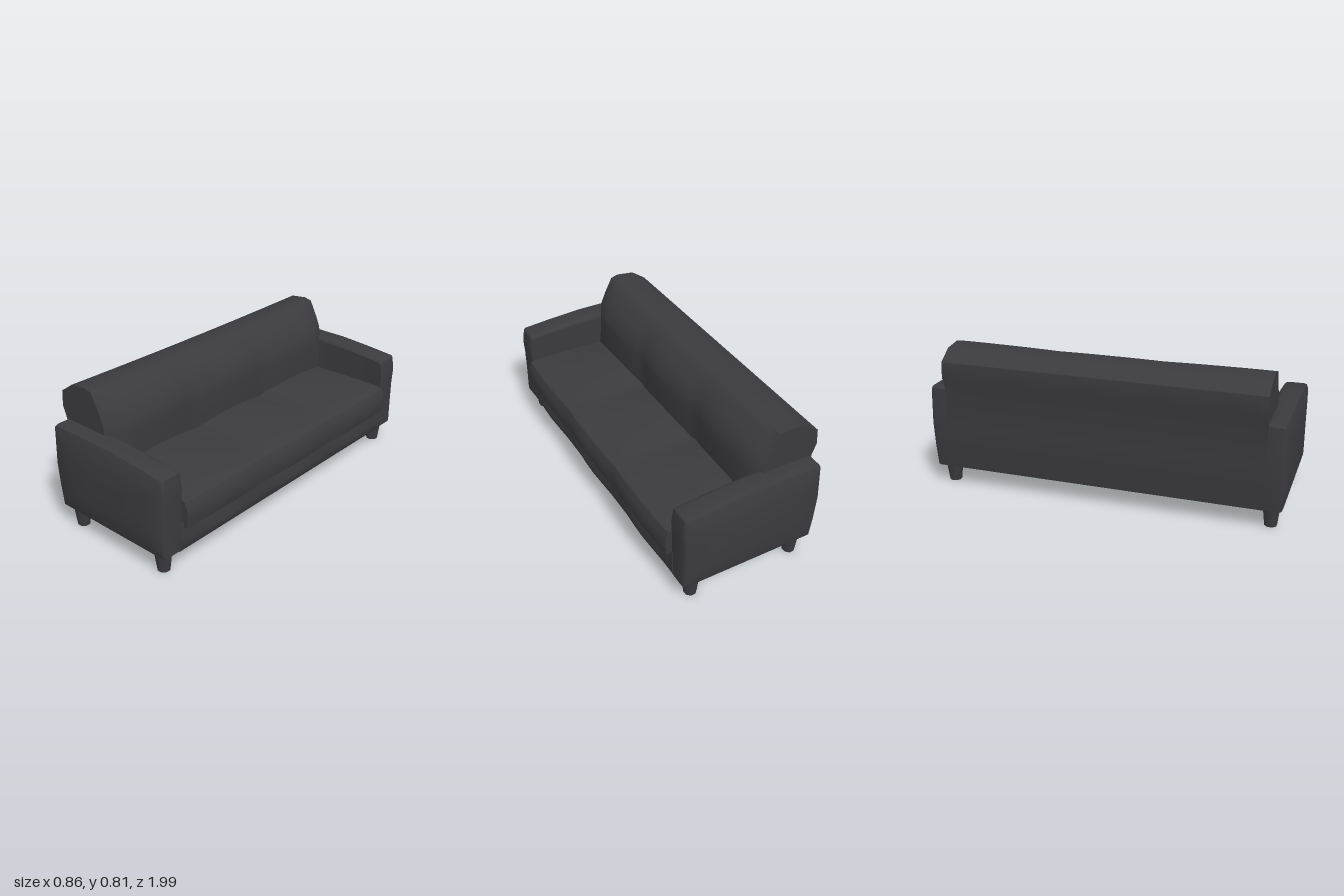
import * as THREE from 'three';
import { toCreasedNormals } from 'three/addons/utils/BufferGeometryUtils.js';

// Skin a list of { z, pts } sections (z rising, pts counterclockwise in x/y) and cap both ends
function loft(sections, crease = 0.7) {
  const n = sections[0].pts.length, pos = [], idx = [];
  sections.forEach(s => s.pts.forEach(([x, y]) => pos.push(x, y, s.z)));
  for (let i = 0; i < sections.length - 1; i++) {
    for (let j = 0; j < n; j++) {
      const a = i * n + j, b = i * n + (j + 1) % n;
      idx.push(a, b, b + n, a, b + n, a + n);
    }
  }
  const cap = (s, base, flip) => {
    const contour = s.pts.map(([x, y]) => new THREE.Vector2(x, y));
    for (const [a, b, c] of THREE.ShapeUtils.triangulateShape(contour, [])) {
      if (flip) idx.push(base + a, base + c, base + b);
      else idx.push(base + a, base + b, base + c);
    }
  };
  cap(sections[0], 0, true);
  cap(sections[sections.length - 1], (sections.length - 1) * n, false);
  const g = new THREE.BufferGeometry();
  g.setAttribute('position', new THREE.Float32BufferAttribute(pos, 3));
  g.setIndex(idx);
  return toCreasedNormals(g, crease);
}

// Even steps along z, from -half to half
function alongZ(half, steps, profile) {
  return Array.from({ length: steps + 1 }, (_, i) => {
    const z = -half + 2 * half * i / steps;
    return { z, pts: profile(z) };
  });
}

// 0 at cushion seams, 1 in the middle of each of the three cushions
function puff(z, half) {
  const t = (z + half) / (2 * half) * 3;
  const u = Math.abs((t - Math.min(2, Math.floor(t))) * 2 - 1);
  return 1 - u ** 2.5;
}

export function createModel() {
  const sofa = new THREE.Group();
  sofa.name = 'sofa';
  const fabric = new THREE.MeshStandardMaterial({ color: 0x3b3a3f });
  fabric.name = 'charcoal';
  const add = (name, geometry) => {
    const m = new THREE.Mesh(geometry, fabric);
    m.name = name;
    sofa.add(m);
    return m;
  };

  // Base rail and flat underside
  add('base', loft(alongZ(0.87, 18, z => {
    const w = 0.006 * Math.cos(z * 11);
    return [[-0.38, 0.112], [0.375, 0.112], [0.39 + w, 0.14], [0.393 + w, 0.17],
      [0.385, 0.21], [0.382, 0.27], [-0.38, 0.27]];
  })));

  // Seat of three joined cushions
  add('seatCushions', loft(alongZ(0.842, 24, z => {
    const p = puff(z, 0.842);
    return [[-0.2, 0.245], [0.395, 0.245], [0.405 + 0.006 * p, 0.25], [0.41 + 0.017 * p, 0.31],
      [0.405 + 0.01 * p, 0.36], [0.392 + 0.008 * p, 0.39], [0.365, 0.397 + 0.006 * p],
      [0.15, 0.398 + 0.018 * p], [-0.03, 0.395 + 0.038 * p], [-0.2, 0.39 + 0.03 * p]];
  })));

  // Backrest: rear panel, rounded top and puffed front cushions
  add('backrest', loft(alongZ(0.885, 30, z => {
    const p = puff(z, 0.885), e = Math.abs(z) / 0.885;
    const end = Math.max(0, (e - 0.9) / 0.1), top = 0.008 * (e * e - 1);
    return [[-0.385, 0.112], [-0.1, 0.112], [-0.09 + 0.03 * p, 0.4],
      [-0.085 + 0.026 * p - 0.03 * end, 0.58], [-0.092 + 0.028 * p - 0.03 * end, 0.645],
      [-0.125 + 0.02 * p - 0.025 * end, 0.71], [-0.165 + 0.01 * p - 0.015 * end, 0.768],
      [-0.195 + 0.01 * p, 0.797 + top], [-0.24, 0.808 + top], [-0.34, 0.796 + top],
      [-0.424, 0.738], [-0.43, 0.65], [-0.405, 0.585], [-0.418, 0.37], [-0.4, 0.22]];
  })));

  // Arms: sloping top, rounded rims, domed outer side
  const arm = [[-0.385, 0.112], [0.37, 0.112], [0.381, 0.122], [0.38, 0.25], [0.381, 0.39],
    [0.386, 0.47], [0.375, 0.553], [0.365, 0.562], [0.2, 0.576], [0, 0.588], [-0.39, 0.587],
    [-0.402, 0.575], [-0.412, 0.37], [-0.4, 0.22]];
  const scaled = (s, sy = s) => arm.map(([x, y]) => [x * s, 0.35 + (y - 0.35) * sy]);
  const armSections = [
    { z: 0.846, pts: scaled(0.985, 0.93) }, { z: 0.856, pts: scaled(0.996, 0.98) },
    { z: 0.875, pts: scaled(1) }, { z: 0.955, pts: scaled(1) },
    { z: 0.971, pts: scaled(0.99, 0.985) }, { z: 0.98, pts: scaled(0.96, 0.9) },
    { z: 0.992, pts: scaled(0.65, 0.5) }, { z: 0.997, pts: scaled(0.3, 0.2) },
  ];
  add('leftEndArm', loft(armSections));
  add('rightEndArm', loft(armSections.map(s => ({ z: -s.z, pts: s.pts })).reverse()));

  // Four tapered legs
  const leg = toCreasedNormals(new THREE.CylinderGeometry(0.05, 0.034, 0.13, 8).rotateY(Math.PI / 8), 0.9);
  for (const x of [-0.307, 0.303]) {
    for (const z of [-0.912, 0.912]) {
      add('leg', leg).position.set(x, 0.065, z);
    }
  }
  return sofa;
}
